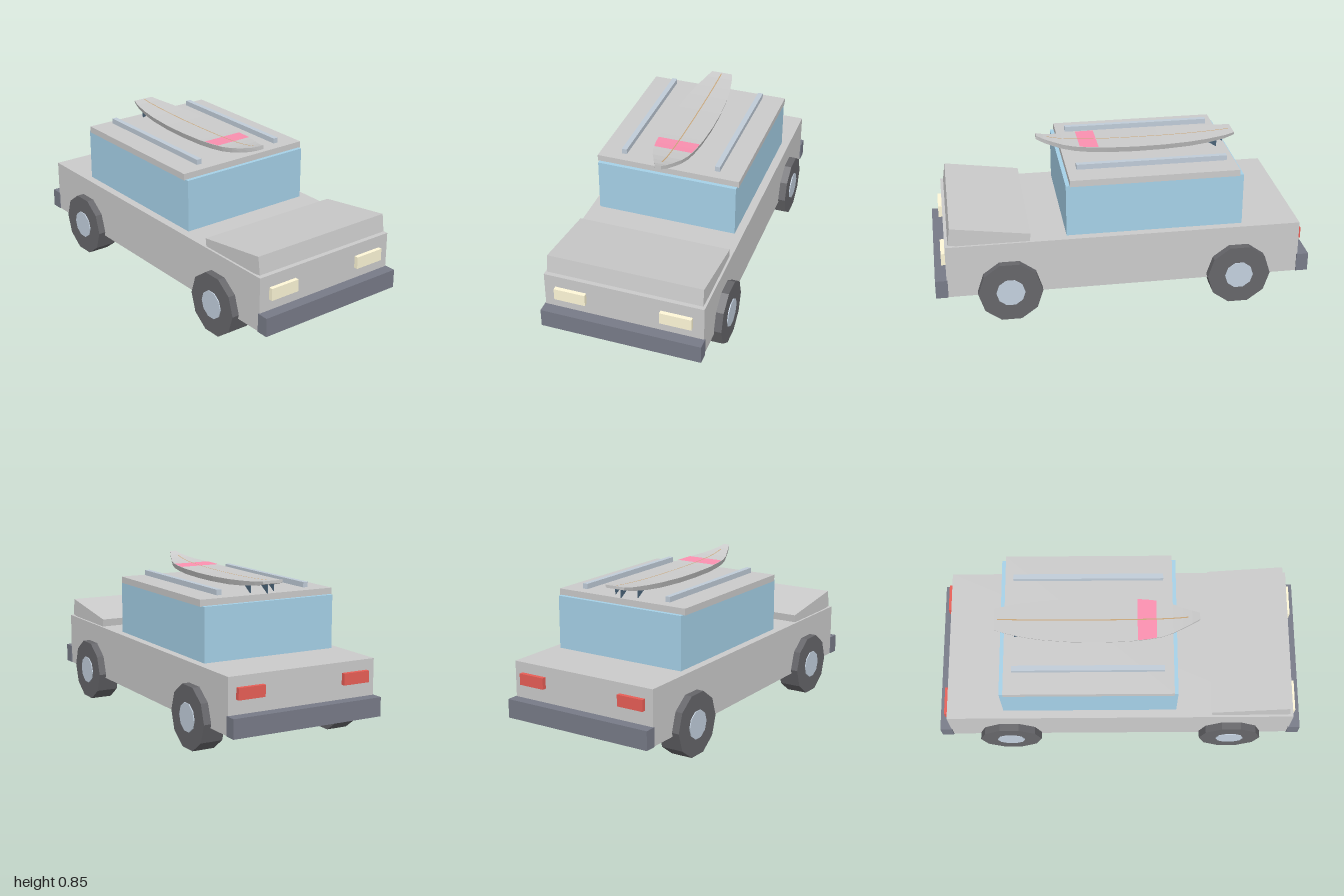
import * as THREE from 'three';

const mat = (color = 0xcccccc, side = THREE.FrontSide) =>
  new THREE.MeshStandardMaterial({ color, flatShading: true, side });

// Surfboard stations from tail to nose: z, half width, deck height, underside height
const STATIONS = [
  [-0.655, 0.06, 0.818, 0.803], [-0.6, 0.076, 0.811, 0.79], [-0.5, 0.097, 0.805, 0.779],
  [-0.4, 0.111, 0.801, 0.772], [-0.25, 0.122, 0.798, 0.768], [-0.1, 0.125, 0.798, 0.767],
  [0.05, 0.12, 0.8, 0.769], [0.15, 0.111, 0.804, 0.774], [0.22, 0.1, 0.808, 0.78],
  [0.28, 0.081, 0.814, 0.788], [0.33, 0.058, 0.823, 0.798], [0.38, 0.036, 0.835, 0.812],
  [0.42, 0.018, 0.85, 0.829],
];

function stationAt(z) {
  let i = 0;
  while (i < STATIONS.length - 2 && STATIONS[i + 1][0] < z) i++;
  const a = STATIONS[i], b = STATIONS[i + 1], t = (z - a[0]) / (b[0] - a[0]);
  return a.map((v, k) => THREE.MathUtils.lerp(v, b[k], t));
}

// Skin a row of equal-sized cross-section loops, with optional end caps
function loft(rings, closed) {
  const n = rings[0].length, index = [];
  const last = closed ? n : n - 1;
  for (let r = 0; r < rings.length - 1; r++) {
    for (let k = 0; k < last; k++) {
      const a = r * n + k, b = r * n + (k + 1) % n;
      index.push(a, a + n, b, b, a + n, b + n);
    }
  }
  if (closed) {
    const e = (rings.length - 1) * n;
    for (let k = 1; k < n - 1; k++) index.push(0, k, k + 1, e, e + k + 1, e + k);
  }
  const g = new THREE.BufferGeometry();
  g.setAttribute('position', new THREE.Float32BufferAttribute(rings.flat(2), 3));
  g.setIndex(index);
  const flat = g.toNonIndexed();
  flat.computeVertexNormals();
  return flat;
}

// Thin coloured band lying on the deck between two z values
function deckBand(z0, z1, halfWidth) {
  const zs = [z0, ...STATIONS.map((s) => s[0]).filter((z) => z > z0 && z < z1), z1];
  return loft(zs.map((z) => {
    const [, w, top] = stationAt(z);
    const x = Math.min(w, halfWidth);
    return [[-x, top + 0.002, z], [x, top + 0.002, z]];
  }), false);
}

export function createModel() {
  const car = new THREE.Group();
  car.name = 'car';

  const add = (name, geometry, material, parent = car) => {
    const mesh = new THREE.Mesh(geometry, material);
    mesh.name = name;
    parent.add(mesh);
    return mesh;
  };
  const box = (name, w, h, d, x, y, z, material) => {
    const mesh = add(name, new THREE.BoxGeometry(w, h, d), material);
    mesh.position.set(x, y, z);
    return mesh;
  };

  const paint = mat(), glass = mat(0xa6d1e8), bumper = mat(0x787b88);
  const lamp = mat(0xfff8d8), tailLamp = mat(0xe85e56), railMetal = mat(0xc0ccd8);
  const rubber = mat(0x66666a), hubMetal = mat(0xc3d0de);

  // Body, sloping hood, cabin and roof
  box('body', 0.85, 0.29, 1.88, 0, 0.285, 0, paint);
  box('hood', 0.826, 0.095, 0.42, 0, 0.454, 0.709, paint).rotation.x = -0.14;
  box('cabinGlass', 0.762, 0.285, 0.938, 0, 0.5705, -0.164, glass);
  box('roof', 0.782, 0.035, 0.894, 0, 0.7285, -0.163, paint);

  // Bumpers
  box('frontBumper', 0.86, 0.1, 0.065, 0, 0.19, 0.9675, bumper);
  box('rearBumper', 0.86, 0.1, 0.065, 0, 0.19, -0.9675, bumper);

  // Mirrored lamps, roof rails and wheels
  for (const [s, sideName] of [[1, 'left'], [-1, 'right']]) {
    box(sideName + 'Headlight', 0.168, 0.065, 0.04, s * 0.282, 0.332, 0.942, lamp);
    box(sideName + 'TailLight', 0.15, 0.06, 0.04, s * 0.305, 0.345, -0.943, tailLamp);
    box(sideName + 'RoofRail', 0.028, 0.028, 0.8, s * 0.258, 0.766, -0.165, railMetal);

    for (const [z, end] of [[0.612, 'Front'], [-0.61, 'Rear']]) {
      const wheel = new THREE.Group();
      wheel.name = sideName + end + 'Wheel';
      wheel.position.set(s * 0.405, 0.162, z);
      wheel.rotation.z = Math.PI / 2;
      add('tire', new THREE.CylinderGeometry(0.17, 0.17, 0.12, 10), rubber, wheel);
      add('hub', new THREE.CylinderGeometry(0.076, 0.076, 0.13, 10), hubMetal, wheel);
      car.add(wheel);
    }
  }

  // Surfboard carried on the roof
  const board = new THREE.Group();
  board.name = 'surfboard';
  car.add(board);
  const rings = STATIONS.map(([z, w, top, low]) =>
    [[-w, top, z], [w, top, z], [w * 0.92, low, z], [-w * 0.92, low, z]]);
  add('boardShell', loft(rings, true), mat(0xcccccc, THREE.DoubleSide), board);
  add('boardStripe', deckBand(0.095, 0.195, 1), mat(0xfb90b0, THREE.DoubleSide), board);
  add('boardStringer', deckBand(-0.64, 0.36, 0.003), mat(0xc8a67a, THREE.DoubleSide), board).position.y = 0.001;

  // Three swept fins under the tail
  const finMat = mat(0x4a6378);
  for (const [name, x, z] of [['leftFin', 0.07, -0.485], ['centreFin', 0, -0.535], ['rightFin', -0.07, -0.485]]) {
    const shape = new THREE.Shape([
      new THREE.Vector2(0, 0.79), new THREE.Vector2(0.07, 0.79), new THREE.Vector2(0.07, 0.746),
    ]);
    const fin = add(name, new THREE.ExtrudeGeometry(shape, { depth: 0.005, bevelEnabled: false }), finMat, board);
    fin.rotation.y = Math.PI / 2;
    fin.position.set(x - 0.0025, 0, z);
  }

  return car;
}
